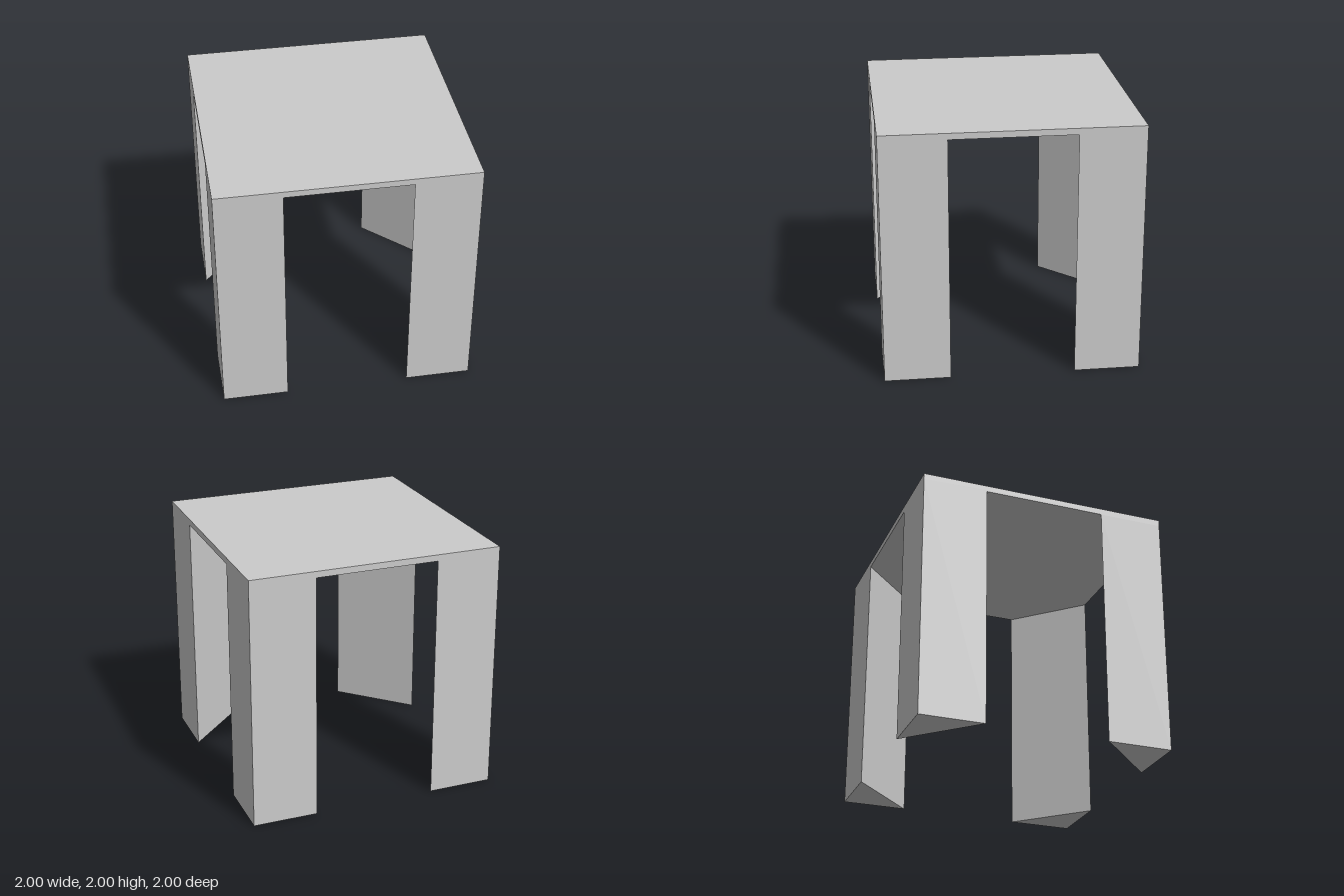
import * as THREE from 'three';

const HALF = 1, HEIGHT = 2, SLAB = 0.05, LEG = 0.515;

export function createModel() {
  const model = new THREE.Group();
  model.name = 'table';
  const material = new THREE.MeshStandardMaterial({ color: 0xcccccc, flatShading: true });

  // Thin square top
  const top = new THREE.Mesh(new THREE.BoxGeometry(2 * HALF, SLAB, 2 * HALF), material);
  top.name = 'tableTop';
  top.position.y = HEIGHT - SLAB / 2;
  model.add(top);

  // Triangular-prism leg with its right angle flush with a corner of the top
  const triangle = new THREE.Shape([
    new THREE.Vector2(HALF, HALF),
    new THREE.Vector2(HALF - LEG, HALF),
    new THREE.Vector2(HALF, HALF - LEG),
  ]);
  const legGeometry = new THREE.ExtrudeGeometry(triangle, { depth: HEIGHT - SLAB, bevelEnabled: false });
  legGeometry.rotateX(-Math.PI / 2);

  // One leg per corner, by quarter turns
  ['backLeftLeg', 'backRightLeg', 'frontRightLeg', 'frontLeftLeg'].forEach((name, i) => {
    const leg = new THREE.Mesh(legGeometry, material);
    leg.name = name;
    leg.rotation.y = i * Math.PI / 2;
    model.add(leg);
  });

  return model;
}
